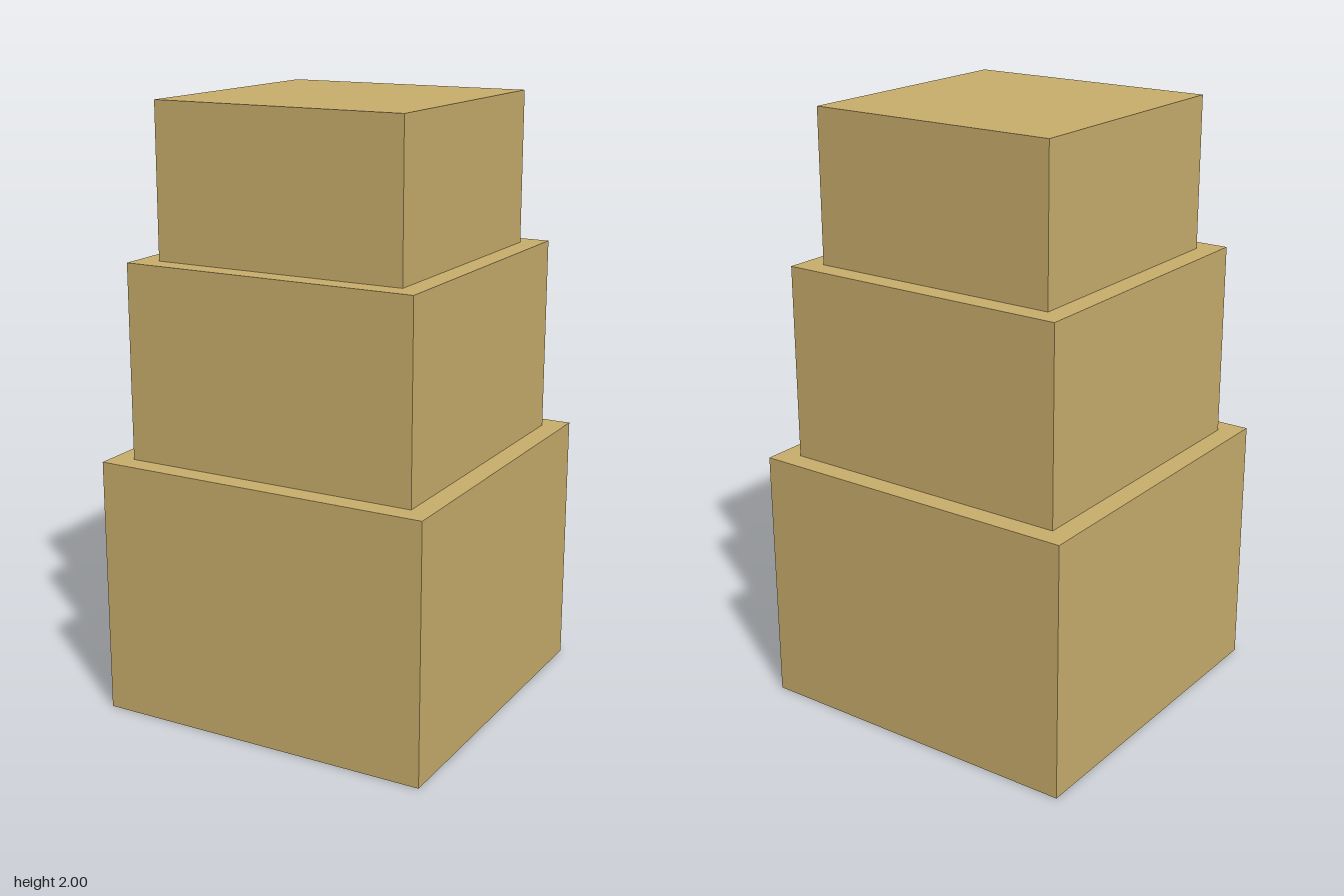
import * as THREE from 'three';

// Stepped tower: three square blocks stacked from widest to narrowest
const TIERS = [
  { name: 'bottomTier', width: 1.143, height: 0.857 },
  { name: 'middleTier', width: 1.0, height: 0.643 },
  { name: 'topTier', width: 0.857, height: 0.5 },
];

export function createModel() {
  const group = new THREE.Group();
  group.name = 'steppedTower';
  const material = new THREE.MeshStandardMaterial({ color: 0xc8ad6c });

  let base = 0;
  for (const { name, width, height } of TIERS) {
    const tier = new THREE.Mesh(new THREE.BoxGeometry(width, height, width), material);
    tier.name = name;
    tier.position.y = base + height / 2;
    group.add(tier);
    base += height; // each tier rests on the one below
  }
  return group;
}
